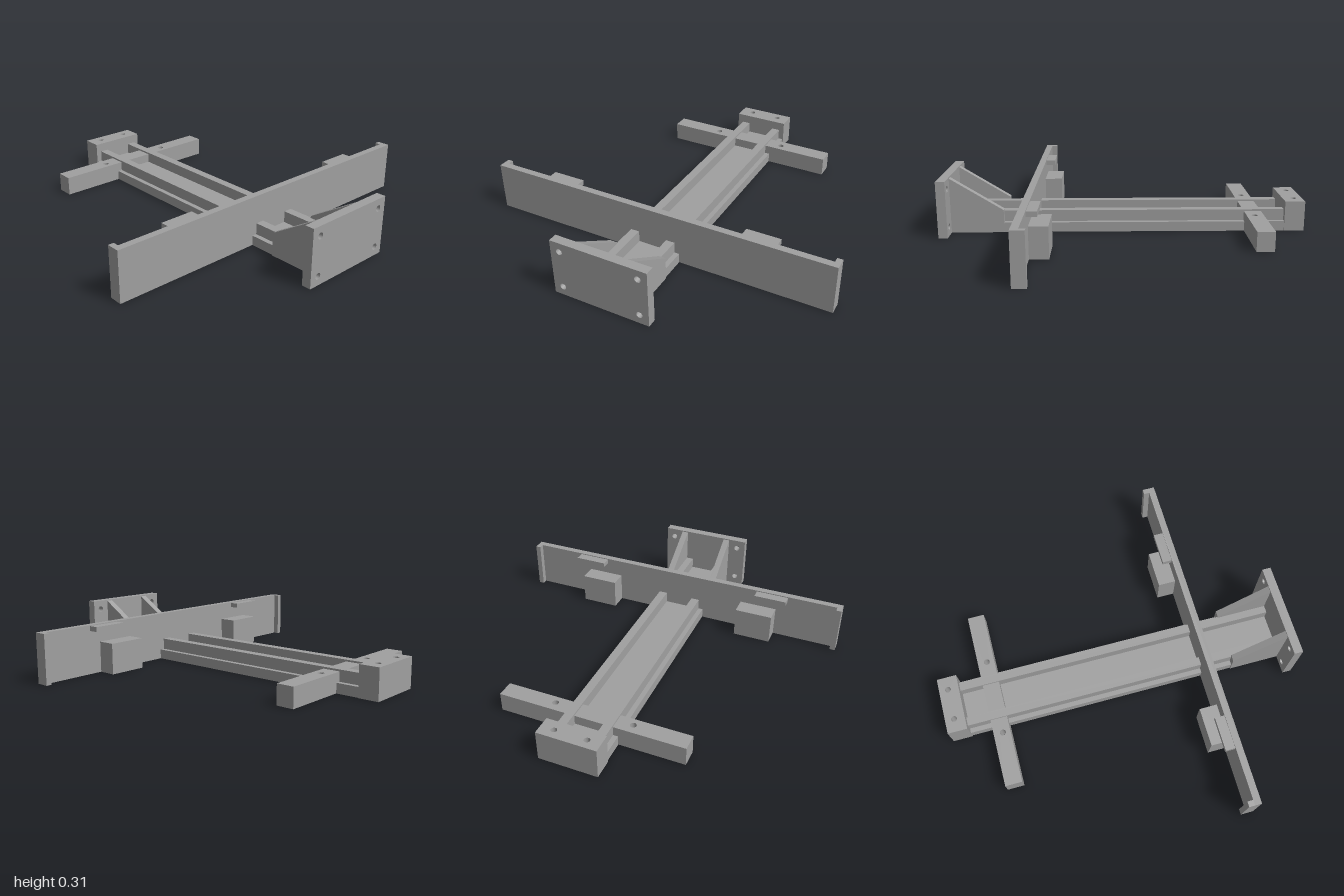
import * as THREE from 'three';

const steel = new THREE.MeshStandardMaterial({ color: 0xa0a0a0 });
steel.name = 'grey steel';

export function createModel() {
  const model = new THREE.Group();
  model.name = 'chassisFrame';

  const add = (name, geometry) => {
    const mesh = new THREE.Mesh(geometry, steel);
    mesh.name = name;
    model.add(mesh);
    return mesh;
  };

  // Box given by its limits on each axis
  const box = (name, x0, x1, y0, y1, z0, z1) =>
    add(name, new THREE.BoxGeometry(x1 - x0, y1 - y0, z1 - z0))
      .position.set((x0 + x1) / 2, (y0 + y1) / 2, (z0 + z1) / 2);

  // Rectangle extruded along +z, with round bolt holes [x, y]
  const drilled = (x0, x1, y0, y1, depth, holes, radius) => {
    const shape = new THREE.Shape([[x0, y0], [x1, y0], [x1, y1], [x0, y1]].map(p => new THREE.Vector2(...p)));
    for (const [x, y] of holes) {
      shape.holes.push(new THREE.Path().absarc(x, y, radius, 0, Math.PI * 2, true));
    }
    return new THREE.ExtrudeGeometry(shape, { depth, bevelEnabled: false, curveSegments: 16 });
  };

  // Central spine
  box('basePlate', -0.157, 0.157, 0, 0.054, -0.9, 0.96);

  // Front mounting plate with four bolt holes
  add('frontPlate', drilled(-0.268, 0.268, 0, 0.312, 0.05,
    [[-0.217, 0.05], [0.217, 0.05], [-0.217, 0.26], [0.217, 0.26]], 0.017)).position.z = 0.95;

  // Rear block and cross beam, drilled vertically (shape y becomes -z)
  add('rearBlock', drilled(-0.162, 0.162, 0.89, 1, 0.168,
    [[-0.088, 0.95], [0.088, 0.95]], 0.016)).rotation.x = -Math.PI / 2;
  add('crossBeam', drilled(-0.515, 0.515, 0.668, 0.763, 0.106,
    [[-0.217, 0.711], [0.217, 0.711]], 0.017)).rotation.x = -Math.PI / 2;

  // Wide front panel
  box('frontPanel', -0.99, 0.99, 0, 0.27, 0.477, 0.515);

  // Sloped gusset profile, drawn in (z, y)
  const gussetShape = new THREE.Shape([[0.66, 0], [0.955, 0], [0.955, 0.309], [0.66, 0.127]]
    .map(p => new THREE.Vector2(...p)));

  for (const [side, s] of [['left', 1], ['right', -1]]) {
    const sideBox = (name, x0, x1, ...rest) =>
      box(side + name, Math.min(s * x0, s * x1), Math.max(s * x0, s * x1), ...rest);

    sideBox('Rail', 0.082, 0.13, 0, 0.116, -0.9, 0.96);
    sideBox('PanelEndLip', 0.96, 0.99, 0, 0.27, 0.445, 0.48);
    sideBox('PanelBlock', 0.395, 0.61, 0, 0.17, 0.377, 0.48);
    sideBox('PanelTab', 0.488, 0.675, 0.238, 0.265, 0.423, 0.48);

    const gusset = add(side + 'Gusset',
      new THREE.ExtrudeGeometry(gussetShape, { depth: 0.038, bevelEnabled: false }));
    gusset.rotation.y = -Math.PI / 2;
    gusset.position.x = s > 0 ? 0.162 : -0.124;
  }
  return model;
}
